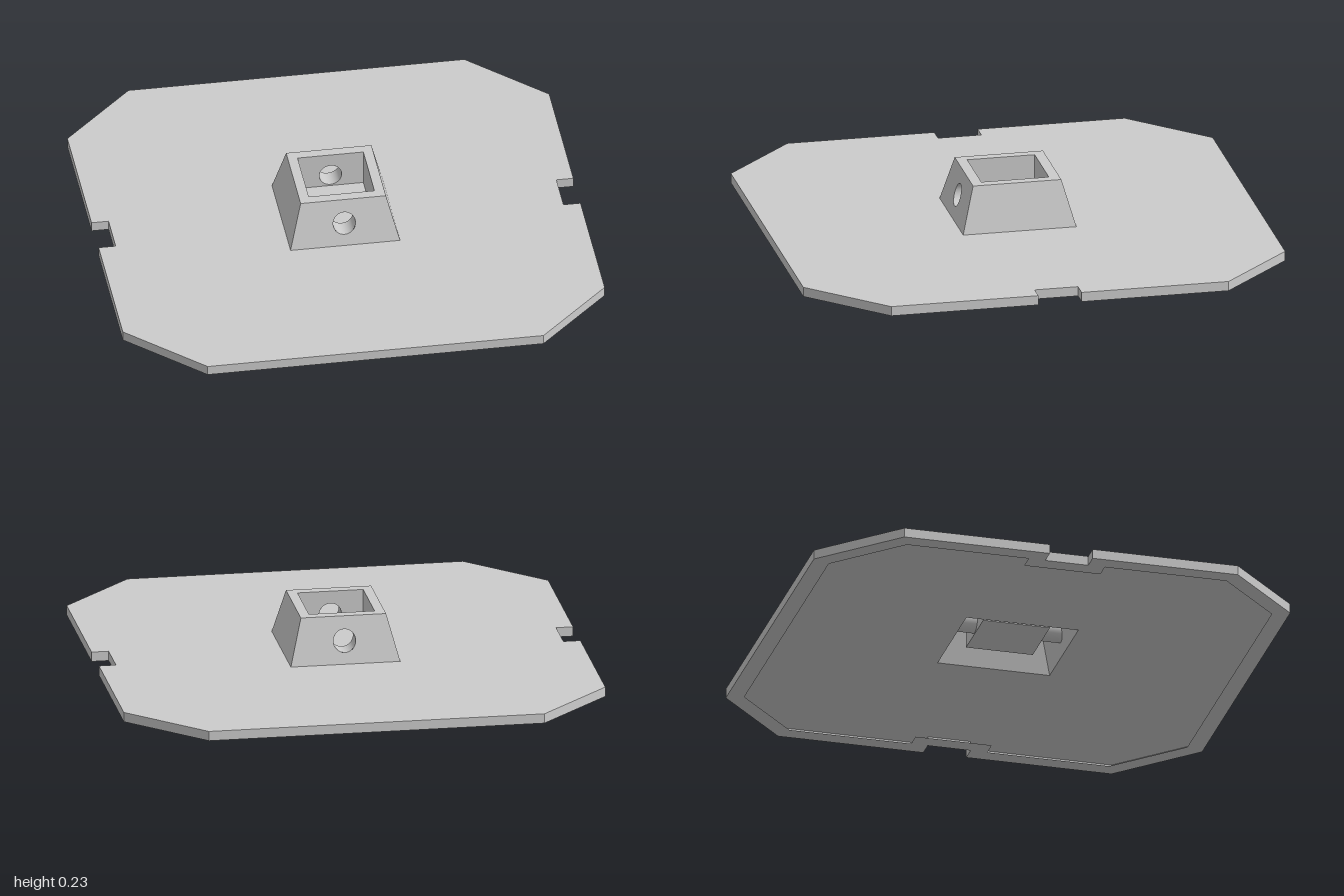
import * as THREE from 'three';

const PLATE_TOP = 0.04, TOWER_TOP = 0.23, FLOOR = 0.08;
const HOLE_Y = 0.132, HOLE_R = 0.046;
const BASE = [0.225, 0.235], CROWN = [0.175, 0.183], SOCKET = [0.135, 0.14];

const material = new THREE.MeshStandardMaterial({ color: 0xcccccc, side: THREE.DoubleSide });

function addMesh(parent, name, geometry) {
  const mesh = new THREE.Mesh(geometry, material);
  mesh.name = name;
  parent.add(mesh);
  return mesh;
}

// Octagon with a notch in each x side, shrunk inwards by `inset`
function plateOutline(inset) {
  const x = 0.99 - inset, z = 1 - inset, cut = 0.3 - inset * 0.586;
  const nx = 0.92 - inset, nz = 0.09 + inset;
  const half = [[x - cut, -z], [x, cut - z], [x, -nz], [nx, -nz], [nx, nz], [x, nz], [x, z - cut], [x - cut, z]];
  return [...half, ...half.map(([a, b]) => [-a, -b])].map(([a, b]) => new THREE.Vector2(a, b));
}

const rect = ([w, d]) => [[-w, -d], [w, -d], [w, d], [-w, d]].map(([a, b]) => new THREE.Vector2(a, b));

// Horizontal sheet with an optional hole
function sheet(points, holePoints, y, faceUp = true) {
  const shape = new THREE.Shape(points);
  if (holePoints) shape.holes.push(new THREE.Path(holePoints));
  return new THREE.ShapeGeometry(shape).rotateX(faceUp ? -Math.PI / 2 : Math.PI / 2).translate(0, y, 0);
}

// Vertical band following a closed outline
function band(points, y0, y1) {
  const pos = [];
  points.forEach((a, i) => {
    const b = points[(i + 1) % points.length];
    pos.push(a.x, y0, a.y, a.x, y1, a.y, b.x, y1, b.y, a.x, y0, a.y, b.x, y1, b.y, b.x, y0, b.y);
  });
  const geometry = new THREE.BufferGeometry();
  geometry.setAttribute('position', new THREE.Float32BufferAttribute(pos, 3));
  geometry.computeVertexNormals();
  return geometry;
}

// Leaning wall facing +z: half widths w, distances d and heights y, each at [bottom, top]
function wall(w, d, y, hasHole) {
  const shape = new THREE.Shape([
    new THREE.Vector2(-w[0], y[0]), new THREE.Vector2(w[0], y[0]),
    new THREE.Vector2(w[1], y[1]), new THREE.Vector2(-w[1], y[1]),
  ]);
  if (hasHole) shape.holes.push(new THREE.Path().absarc(0, HOLE_Y, HOLE_R, 0, Math.PI * 2, true));
  const geometry = new THREE.ShapeGeometry(shape, 32);
  const p = geometry.attributes.position;
  for (let i = 0; i < p.count; i++) {
    p.setZ(i, THREE.MathUtils.mapLinear(p.getY(i), y[0], y[1], d[0], d[1]));
  }
  geometry.computeVertexNormals();
  return geometry;
}

// Screw hole lining, its outer end trimmed to the sloping wall
function holeLining() {
  const geometry = new THREE.CylinderGeometry(HOLE_R, HOLE_R, 1, 32, 1, true);
  geometry.rotateX(Math.PI / 2).translate(0, HOLE_Y, 0);
  const p = geometry.attributes.position;
  for (let i = 0; i < p.count; i++) {
    const outer = THREE.MathUtils.mapLinear(p.getY(i), PLATE_TOP, TOWER_TOP, BASE[1], CROWN[1]);
    p.setZ(i, p.getZ(i) > 0 ? outer : SOCKET[1]);
  }
  return geometry;
}

export function createModel() {
  const model = new THREE.Group();
  model.name = 'basePlateWithSocket';

  // Plate: hollow underneath, with a narrow lip around the bottom
  const plate = new THREE.Group();
  plate.name = 'plate';
  const outline = plateOutline(0);
  addMesh(plate, 'plateTop', sheet(outline, rect(BASE), PLATE_TOP));
  addMesh(plate, 'plateEdge', band(outline, 0, PLATE_TOP));
  addMesh(plate, 'bottomLip', sheet(outline, plateOutline(0.07), 0, false));

  // Tower: tapered shell around a square socket
  const tower = new THREE.Group();
  tower.name = 'tower';
  addMesh(tower, 'towerRim', sheet(rect(CROWN), rect(SOCKET), TOWER_TOP));
  addMesh(tower, 'socketFloor', sheet(rect(SOCKET), null, FLOOR));

  const outerY = [PLATE_TOP, TOWER_TOP], innerY = [FLOOR, TOWER_TOP];
  for (let i = 0; i < 4; i++) {
    const drilled = i % 2 === 0;
    const w = drilled ? 0 : 1, d = 1 - w;
    const side = new THREE.Group();
    side.name = ['frontSide', 'leftSide', 'backSide', 'rightSide'][i];
    side.rotation.y = i * Math.PI / 2;
    addMesh(side, 'outerWall', wall([BASE[w], CROWN[w]], [BASE[d], CROWN[d]], outerY, drilled));
    addMesh(side, 'socketWall', wall([SOCKET[w], SOCKET[w]], [-SOCKET[d], -SOCKET[d]], innerY, drilled));
    if (drilled) addMesh(side, 'screwHole', holeLining());
    tower.add(side);
  }

  model.add(plate, tower);
  return model;
}
